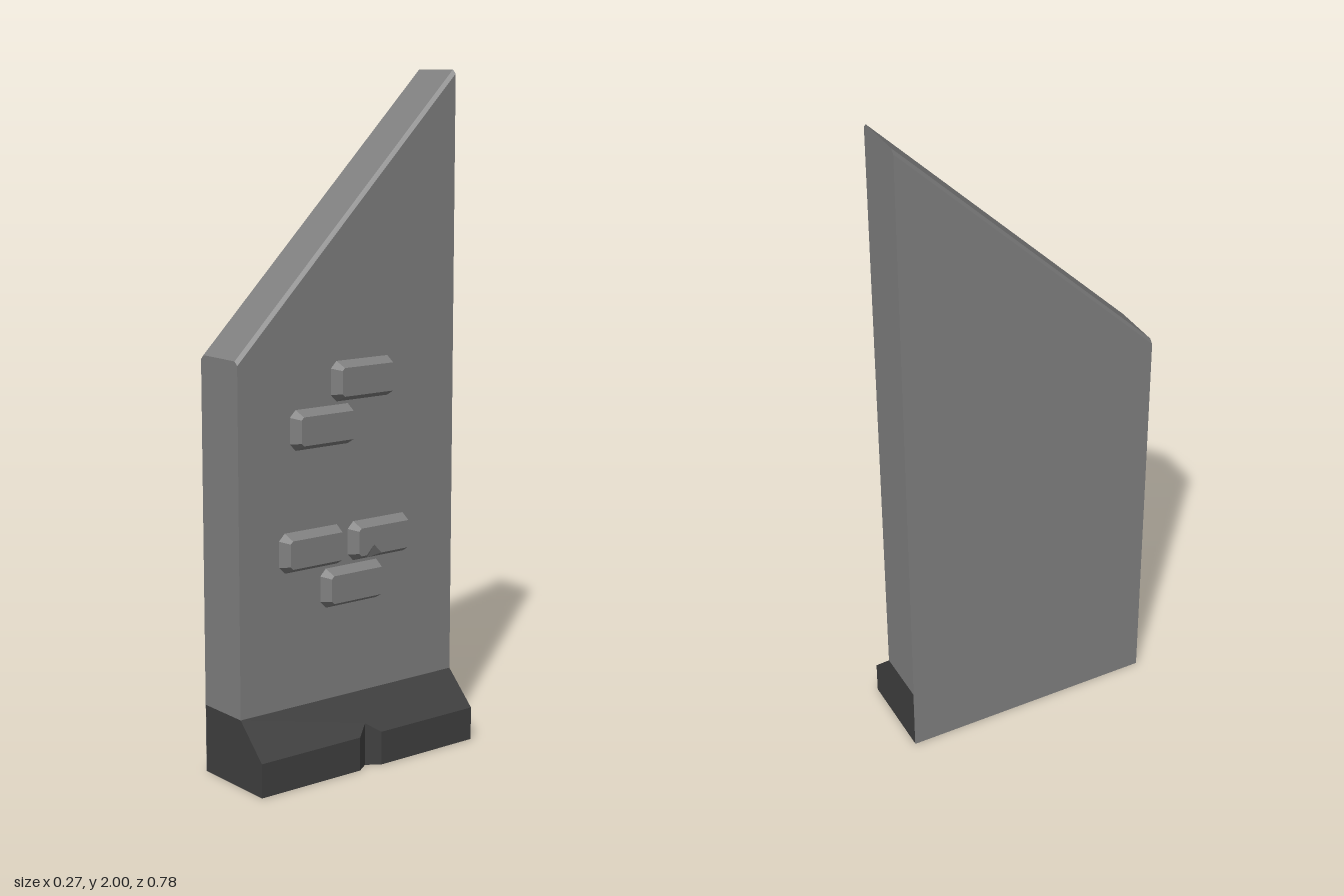
import * as THREE from 'three';

const HALF_Z = 0.39, BACK_X = -0.137, FACE_X = 0.037, FRONT_X = 0.137;
const wallMat = new THREE.MeshStandardMaterial({ color: 0x808080, flatShading: true });
const baseMat = new THREE.MeshStandardMaterial({ color: 0x404040, flatShading: true });

const V = (x, y) => new THREE.Vector2(x, y);

function addMesh(parent, geometry, material, name) {
  const mesh = new THREE.Mesh(geometry, material);
  mesh.name = name;
  parent.add(mesh);
  return mesh;
}

function boxBetween(x0, x1, y0, y1) {
  return new THREE.BoxGeometry(x1 - x0, y1 - y0, HALF_Z * 2).translate((x0 + x1) / 2, (y0 + y1) / 2, 0);
}

// Move the height of every vertex by a rule
function reshapeY(geometry, rule) {
  const p = geometry.attributes.position;
  for (let i = 0; i < p.count; i++) p.setY(i, rule(p.getX(i), p.getY(i), p.getZ(i)));
  geometry.computeVertexNormals();
  return geometry;
}

// Wall slab: section with chamfered top edges, sheared so the top slopes at 45 degrees
function wallGeometry() {
  const h = 1.607, c = 0.012;
  const section = new THREE.Shape([
    V(BACK_X, 0.2), V(FACE_X, 0.2), V(FACE_X, h - c), V(FACE_X - c, h), V(BACK_X + c, h), V(BACK_X, h - c),
  ]);
  const geo = new THREE.ExtrudeGeometry(section, { depth: HALF_Z * 2, bevelEnabled: false });
  geo.translate(0, 0, -HALF_Z);
  return reshapeY(geo, (x, y, z) => (y > 1 ? y - z : y));
}

// Sloping skirting with a V-shaped nick in its front edge
function skirtGeometry() {
  const plan = new THREE.Shape([
    V(FACE_X, -HALF_Z), V(FRONT_X, -HALF_Z), V(FRONT_X, -0.04), V(0.11, 0),
    V(FRONT_X, 0.04), V(FRONT_X, HALF_Z), V(FACE_X, HALF_Z),
  ]);
  const geo = new THREE.ExtrudeGeometry(plan, { depth: 0.2, bevelEnabled: false });
  geo.rotateX(-Math.PI / 2);
  return reshapeY(geo, (x, y) => (y > 0.1 ? 0.2 + FACE_X - x : 0));
}

// Rectangle with cut corners; chip = three points inserted in the bottom edge
function brickOutline(hu, hv, c, chip) {
  return [
    V(-hu + c, -hv), ...chip, V(hu - c, -hv), V(hu, -hv + c), V(hu, hv - c),
    V(hu - c, hv), V(-hu + c, hv), V(-hu, hv - c), V(-hu, -hv + c),
  ];
}

// Raised brick: bevelled sides between a large and a small outline, plus a flat face
function brickGeometry(chipped) {
  const hu = 0.113, hv = 0.058, bevel = 0.017, height = 0.033;
  const iv = hv - bevel, cu = -0.041;
  const outer = brickOutline(hu, hv, 0.02, chipped ? [V(cu, -hv), V(cu, -hv), V(cu, -hv)] : []);
  const inner = brickOutline(hu - bevel, iv, 0.008,
    chipped ? [V(cu - 0.027, -iv), V(cu, -iv + 0.028), V(cu + 0.027, -iv)] : []);
  const n = outer.length, pos = [], index = [];
  outer.forEach((p) => pos.push(p.x, p.y, 0));
  inner.forEach((p) => pos.push(p.x, p.y, height));
  for (let i = 0; i < n; i++) {
    const j = (i + 1) % n;
    index.push(i, j, n + j, i, n + j, n + i);
  }
  THREE.ShapeUtils.triangulateShape(inner, []).forEach((t) => index.push(...t.map((k) => k + n)));
  const geo = new THREE.BufferGeometry();
  geo.setAttribute('position', new THREE.Float32BufferAttribute(pos, 3));
  geo.setIndex(index);
  const flat = geo.toNonIndexed();
  flat.computeVertexNormals();
  return flat.rotateY(Math.PI / 2);
}

export function createModel() {
  const model = new THREE.Group();
  model.name = 'wallPanel';

  addMesh(model, wallGeometry(), wallMat, 'wallSlab');

  // Dark footing, faced with wall material on its flat side
  const base = new THREE.Group();
  base.name = 'base';
  addMesh(base, boxBetween(BACK_X + 0.002, FACE_X, 0, 0.2), baseMat, 'footing');
  addMesh(base, skirtGeometry(), baseMat, 'skirting');
  addMesh(base, boxBetween(BACK_X, BACK_X + 0.002, 0, 0.2), wallMat, 'footingBackFace');
  model.add(base);

  // Exposed bricks: z, y, chipped
  const bricks = new THREE.Group();
  bricks.name = 'bricks';
  [
    [-0.045, 1.13, false],
    [0.1, 1.005, false],
    [0.14, 0.657, false],
    [-0.106, 0.657, true],
    [-0.006, 0.532, false],
  ].forEach(([z, y, chipped], i) => {
    addMesh(bricks, brickGeometry(chipped), wallMat, `brick${i + 1}`).position.set(FACE_X, y, z);
  });
  model.add(bricks);

  return model;
}
